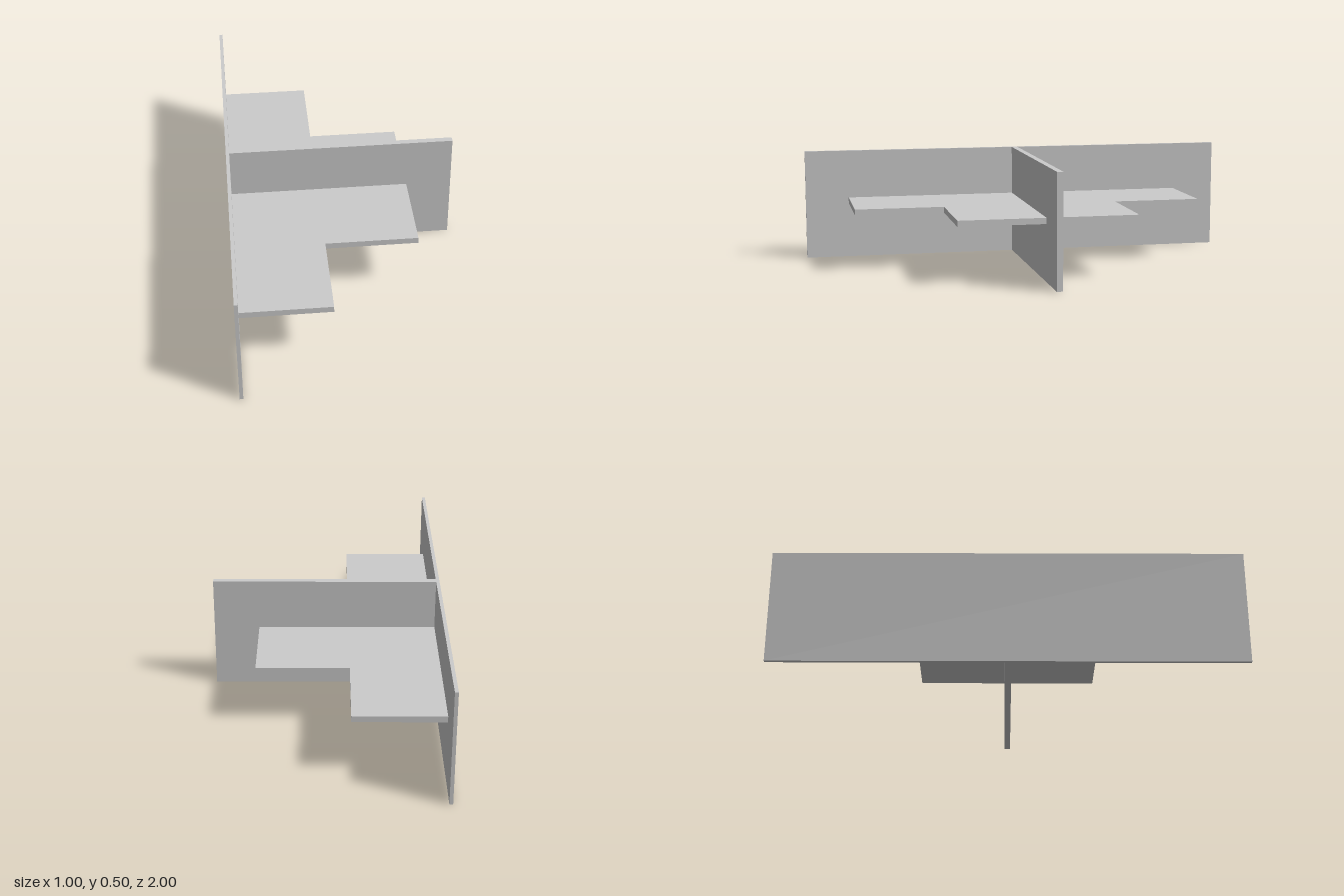
import * as THREE from 'three';

const HEIGHT = 0.505;
const WALL = 0.015;    // back wall thickness
const BOARD = 0.027;   // divider and shelf thickness
const BACK = -0.5;     // outer face of the back wall

export function createModel() {
  const group = new THREE.Group();
  const material = new THREE.MeshStandardMaterial({ color: 0xcccccc, flatShading: true });

  const addPart = (name, geometry, x, y, z) => {
    const mesh = new THREE.Mesh(geometry, material);
    mesh.name = name;
    mesh.position.set(x, y, z);
    group.add(mesh);
  };

  // Long upright wall
  addPart('backWall', new THREE.BoxGeometry(WALL, HEIGHT, 2), BACK + WALL / 2, HEIGHT / 2, 0);

  // Upright divider standing square to the wall
  const inner = BACK + WALL;
  addPart('divider', new THREE.BoxGeometry(0.5 - inner, HEIGHT, BOARD), (0.5 + inner) / 2, HEIGHT / 2, 0);

  // L-shaped shelves, one in each corner between wall and divider
  for (const [name, side] of [['frontShelf', 1], ['backShelf', -1]]) {
    const outline = [
      [inner, BOARD / 2], [0.3, BOARD / 2], [0.3, 0.4],
      [-0.1, 0.4], [-0.1, 0.8], [inner, 0.8],
    ].map(([x, z]) => new THREE.Vector2(x, -side * z));
    const geometry = new THREE.ExtrudeGeometry(new THREE.Shape(outline), { depth: BOARD, bevelEnabled: false });
    geometry.rotateX(-Math.PI / 2);
    addPart(name, geometry, 0, 0.255, 0);
  }

  return group;
}
